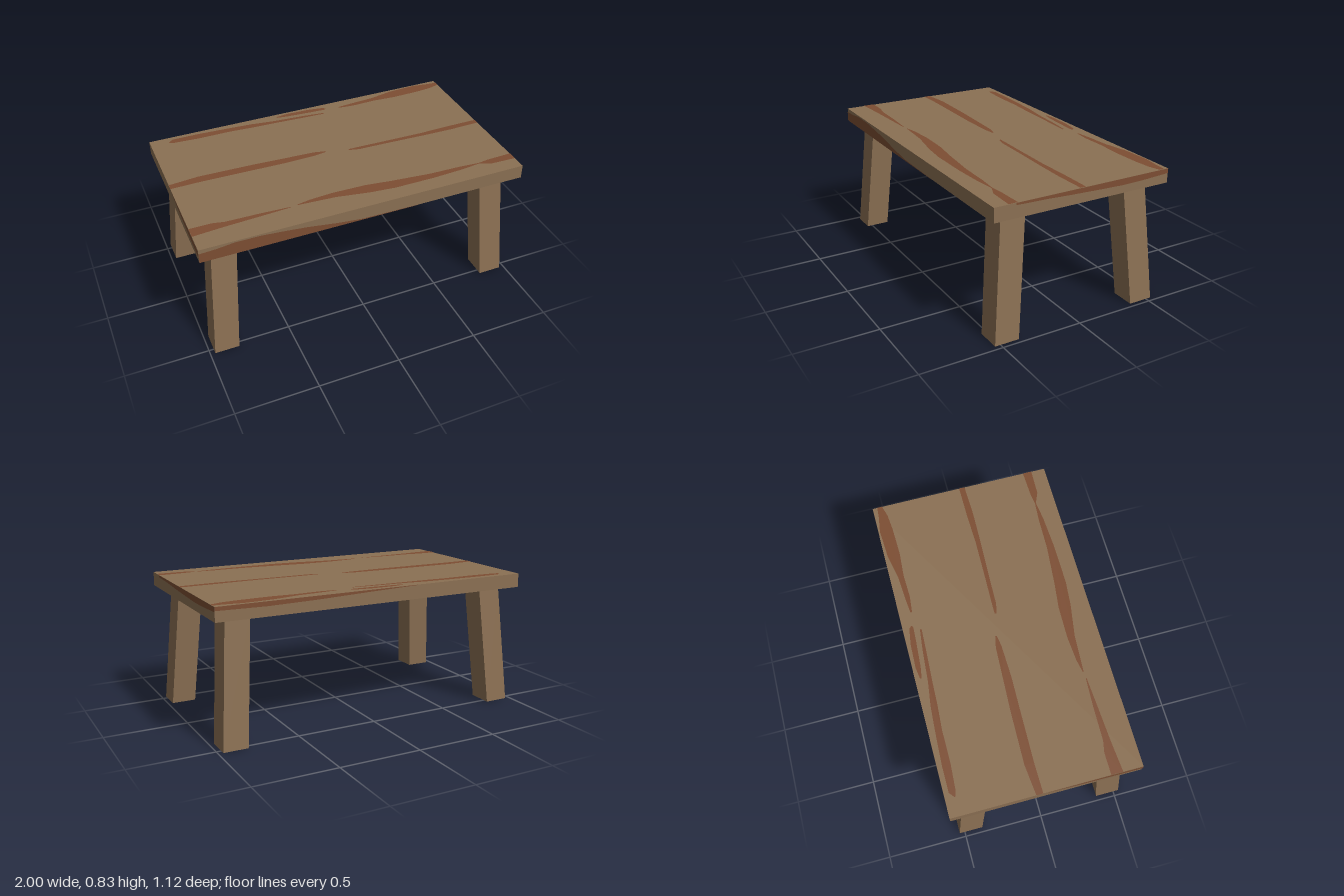
import * as THREE from 'three';

const HALF_X = 1, HALF_Z = 0.56, BOTTOM = 0.74, TOP = 0.825, LIFT = 0.002;

// Streak outline from stations [along, low, high]
function streakGeometry(stations) {
  const lower = stations.map(([u, a]) => new THREE.Vector2(u, a));
  const upper = stations.map(([u, , b]) => new THREE.Vector2(u, b)).reverse();
  return new THREE.ShapeGeometry(new THREE.Shape([...lower, ...upper]));
}

// Square leg sheared outwards toward its corner, with level ends
function legGeometry(sx, sz) {
  const g = new THREE.BoxGeometry(0.148, BOTTOM, 0.15);
  g.translate(0, BOTTOM / 2, 0);
  const p = g.attributes.position;
  for (let i = 0; i < p.count; i++) {
    const t = p.getY(i) / BOTTOM;
    p.setX(i, p.getX(i) + sx * (0.897 - 0.056 * t));
    p.setZ(i, p.getZ(i) + sz * (0.459 - 0.063 * t));
  }
  g.computeVertexNormals();
  return g;
}

export function createModel() {
  const table = new THREE.Group();
  table.name = 'table';
  const wood = new THREE.MeshStandardMaterial({ color: 0x8b7053 });
  wood.name = 'brown wood';
  const grain = new THREE.MeshStandardMaterial({ color: 0x7d4e33 });
  grain.name = 'reddish grain';

  const add = (name, geometry, material) => {
    const mesh = new THREE.Mesh(geometry, material);
    mesh.name = name;
    table.add(mesh);
    return mesh;
  };

  // Table board
  add('tableTop', new THREE.BoxGeometry(2 * HALF_X, TOP - BOTTOM, 2 * HALF_Z), wood)
    .position.y = (TOP + BOTTOM) / 2;

  // Four splayed legs
  for (const [sx, sideX] of [[1, 'Left'], [-1, 'Right']])
    for (const [sz, sideZ] of [[1, 'front'], [-1, 'back']])
      add(`${sideZ}${sideX}Leg`, legGeometry(sx, sz), wood);

  // Grain on the upper face: [x, z low, z high]
  const topStreaks = [
    [[-0.89, -0.505, -0.5], [-0.86, -0.53, -0.49], [-0.7, -0.53, -0.48], [-0.5, -0.52, -0.48],
      [-0.35, -0.51, -0.47], [-0.2, -0.49, -0.465], [0, -0.475, -0.455], [0.13, -0.46, -0.45]],
    [[-0.17, -0.53, -0.52], [-0.1, -0.54, -0.51], [0.05, -0.535, -0.5], [0.15, -0.52, -0.495], [0.165, -0.505, -0.5]],
    [[0.25, -0.49, -0.48], [0.35, -0.5, -0.47], [0.5, -0.51, -0.475], [0.65, -0.54, -0.465],
      [0.83, -0.55, -0.47], [0.93, -0.535, -0.48], [1, -0.53, -0.5]],
    [[-1, -0.065, -0.025], [-0.82, -0.083, -0.027], [-0.5, -0.075, -0.02], [-0.3, -0.065, -0.015],
      [-0.1, -0.055, -0.02], [-0.03, -0.04, -0.03]],
    [[0.11, -0.005, 0.005], [0.17, -0.005, 0.02], [0.35, 0, 0.025], [0.6, 0.005, 0.035], [0.8, 0, 0.04], [1, 0, 0.035]],
    [[-1, 0.37, 0.44], [-0.87, 0.37, 0.43], [-0.8, 0.385, 0.425], [-0.6, 0.39, 0.415], [-0.42, 0.4, 0.405]],
    [[-0.38, 0.395, 0.4], [-0.3, 0.38, 0.405], [-0.15, 0.37, 0.415], [0.05, 0.375, 0.45],
      [0.2, 0.395, 0.465], [0.45, 0.42, 0.465], [0.65, 0.425, 0.455], [0.78, 0.435, 0.44]],
    [[0.77, 0.435, 0.44], [0.84, 0.425, 0.47], [1, 0.42, 0.475]],
  ];
  for (const s of topStreaks) {
    const flipped = s.map(([x, a, b]) => [x, -b, -a]);
    const m = add('topGrain', streakGeometry(flipped), grain);
    m.rotation.x = -Math.PI / 2;
    m.position.y = TOP + LIFT;
  }

  // Grain on the underside: [x, z low, z high]
  const undersideStreaks = [
    [[0.7, 0.24, 0.25], [0.85, 0.2, 0.27], [1, 0.19, 0.25]],
    [[-0.05, 0.29, 0.3], [0.2, 0.24, 0.3], [0.4, 0.22, 0.28], [0.6, 0.23, 0.24]],
    [[-0.9, 0.3, 0.33], [-0.5, 0.29, 0.35], [-0.2, 0.32, 0.33]],
    [[-1, -0.16, -0.12], [-0.5, -0.19, -0.13], [0, -0.21, -0.17], [0.35, -0.22, -0.21]],
  ];
  for (const s of undersideStreaks) {
    const m = add('undersideGrain', streakGeometry(s), grain);
    m.rotation.x = Math.PI / 2;
    m.position.y = BOTTOM - LIFT;
  }

  // Grain on the edges: [distance to the viewer's right, y low, y high]
  const edges = [
    ['frontGrain', 0, [0, 0, HALF_Z + LIFT], [[-1, 0.74, 0.8], [-0.9, 0.74, 0.805], [-0.8, 0.74, 0.817],
      [-0.65, 0.74, 0.816], [-0.5, 0.74, 0.803], [-0.38, 0.74, 0.79], [-0.2, 0.74, 0.763],
      [-0.05, 0.74, 0.747], [0.3, 0.74, 0.742]]],
    ['leftGrain', Math.PI / 2, [HALF_X + LIFT, 0, 0], [[-0.43, 0.813, 0.825], [-0.25, 0.808, 0.825],
      [-0.1, 0.8, 0.825], [0.1, 0.792, 0.825], [0.25, 0.787, 0.825], [0.4, 0.79, 0.825], [0.56, 0.798, 0.825]]],
    ['backGrain', Math.PI, [0, 0, -HALF_Z - LIFT], [[-1, 0.803, 0.825], [-0.7, 0.798, 0.825],
      [-0.4, 0.803, 0.825], [-0.1, 0.813, 0.825], [0.25, 0.823, 0.825]]],
    ['rightGrain', -Math.PI / 2, [-HALF_X - LIFT, 0, 0], [[0, 0.822, 0.825], [0.2, 0.8, 0.825],
      [0.4, 0.785, 0.825], [0.56, 0.78, 0.82]]],
  ];
  for (const [name, turn, place, stations] of edges) {
    const m = add(name, streakGeometry(stations), grain);
    m.rotation.y = turn;
    m.position.set(...place);
  }
  return table;
}
